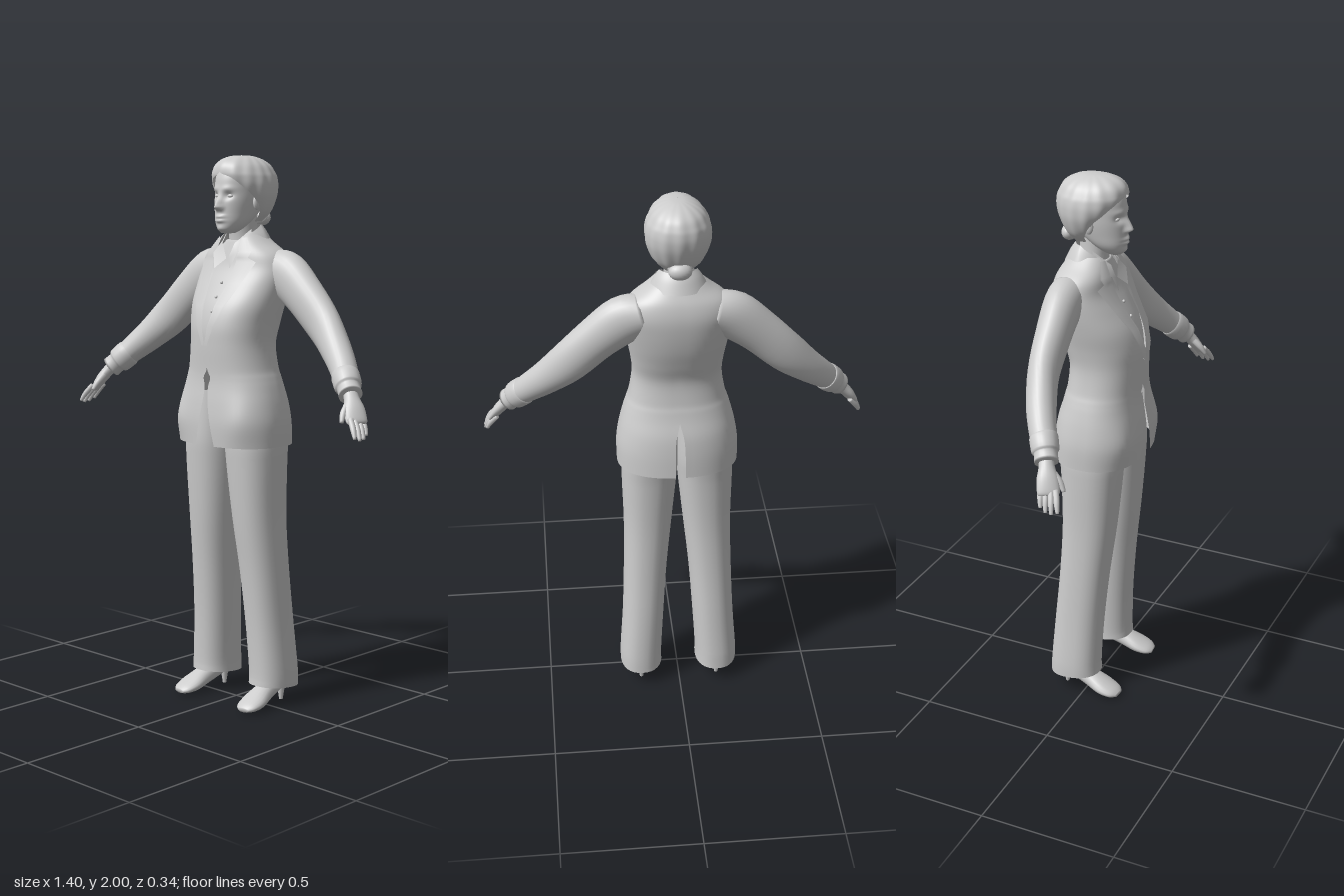
import * as THREE from 'three';
import { mergeVertices, mergeGeometries } from 'three/addons/utils/BufferGeometryUtils.js';

const grey = new THREE.MeshStandardMaterial({ color: 0xcccccc, side: THREE.DoubleSide });
grey.name = 'plain grey';

// Catmull-Rom refinement of a list of number rows
function smooth(rows, n) {
  const out = [], last = rows.length - 1;
  for (let i = 0; i < last; i++) {
    const [a, b, c, d] = [rows[Math.max(i - 1, 0)], rows[i], rows[i + 1], rows[Math.min(i + 2, last)]];
    for (let k = 0; k < n; k++) {
      const t = k / n;
      out.push(b.map((v, j) => v + 0.5 * t * (c[j] - a[j]
        + t * (2 * a[j] - 5 * v + 4 * c[j] - d[j] + t * (3 * (v - c[j]) + d[j] - a[j])))));
    }
  }
  out.push(rows[last]);
  return out;
}

// Surface through rows of points, with optional closed ends
function skin(grid, caps = false) {
  if (caps) {
    const middle = r => {
      const c = new THREE.Vector3();
      r.forEach(p => c.addScaledVector(p, 1 / r.length));
      return r.map(() => c);
    };
    grid = [middle(grid[0]), ...grid, middle(grid[grid.length - 1])];
  }
  const m = grid[0].length, pos = [], index = [];
  grid.forEach(r => r.forEach(p => pos.push(p.x, p.y, p.z)));
  for (let i = 0; i < grid.length - 1; i++) for (let j = 0; j < m - 1; j++) {
    const a = i * m + j, d = a + m;
    index.push(a, a + 1, d + 1, a, d + 1, d);
  }
  const g = new THREE.BufferGeometry();
  g.setAttribute('position', new THREE.Float32BufferAttribute(pos, 3));
  g.setIndex(index);
  return finish(g);
}
function finish(g) {
  g.deleteAttribute('normal');
  g = mergeVertices(g, 1e-4);
  g.computeVertexNormals();
  return g;
}
function flip(geo) {
  const g = geo.clone().scale(-1, 1, 1), ix = g.index.array;
  for (let i = 0; i < ix.length; i += 3) [ix[i], ix[i + 1]] = [ix[i + 1], ix[i]];
  g.computeVertexNormals();
  return g;
}

// Horizontal rounded outline: x = half width, separate front and back depth
function outline([y, w, zf, zb, zc], e, a0, a1, n, bend, x0 = 0) {
  return Array.from({ length: n + 1 }, (_, j) => {
    const a = a0 + (a1 - a0) * j / n, s = Math.sin(a), c = Math.cos(a);
    const p = new THREE.Vector3(x0 + w * Math.sign(s) * Math.abs(s) ** e, y,
      zc + (c > 0 ? zf - zc : zc - zb) * Math.sign(c) * Math.abs(c) ** e);
    if (bend) bend(p);
    return p;
  });
}
// Closed body; rows: y, w, zf, zb, zc, [centre x]
function body(rows, { e = 1, n = 48, steps = 4, bend, caps = true } = {}) {
  return skin(smooth(rows, steps).map(r => outline(r, e, 0, Math.PI * 2, n, bend, r[5] || 0)), caps);
}
// Two mirrored halves with openings; rows: y, w, zf, zb, zc, front gap, back gap
function shell(rows, { e = 1, n = 28, steps = 5, bend } = {}) {
  const angle = (gap, w) => Math.asin(Math.min(1, Math.max(0, gap) / w) ** (1 / e));
  const half = skin(smooth(rows, steps).map(r =>
    outline(r, e, angle(r[5], r[1]), Math.PI - angle(r[6], r[1]), n, bend)));
  return finish(mergeGeometries([half, flip(half)]));
}
// Limb along a path; rows: x, y, z, radius up, radius across
function limb(rows, n = 20, steps = 4, caps = true) {
  const r = smooth(rows, steps), up = new THREE.Vector3(0, 1, 0);
  const c = r.map(p => new THREE.Vector3(p[0], p[1], p[2]));
  return skin(r.map((p, i) => {
    const T = c[Math.min(i + 1, c.length - 1)].clone().sub(c[Math.max(i - 1, 0)]).normalize();
    const W = T.clone().cross(up).normalize(), U = W.clone().cross(T);
    return Array.from({ length: n + 1 }, (_, j) => {
      const a = j / n * Math.PI * 2;
      return c[i].clone().addScaledVector(U, Math.cos(a) * p[3]).addScaledVector(W, Math.sin(a) * p[4]);
    });
  }), caps);
}
const hump = (d, s) => Math.exp(-(d * d) / (s * s));

export function createModel() {
  const model = new THREE.Group();
  const add = (name, geo) => {
    const mesh = new THREE.Mesh(geo, grey);
    mesh.name = name;
    model.add(mesh);
  };
  const pair = (name, geo) => { add('left ' + name, geo); add('right ' + name, flip(geo)); };

  // Jacket with open neck, cutaway front and back vent
  const jacketE = 0.86;
  const jacket = [
    [0.97, 0.22, 0.165, -0.16, 0, 0.045, 0.018], [1.05, 0.22, 0.168, -0.155, 0, 0.028, 0.018],
    [1.12, 0.209, 0.163, -0.145, 0, 0.014, 0.014], [1.18, 0.194, 0.155, -0.127, 0, 0.008, 0],
    [1.215, 0.183, 0.152, -0.118, 0, 0.016, 0], [1.25, 0.172, 0.152, -0.11, 0, 0, 0],
    [1.33, 0.16, 0.155, -0.105, 0, 0, 0], [1.4, 0.165, 0.153, -0.125, -0.01, 0.02, 0],
    [1.47, 0.177, 0.133, -0.145, -0.02, 0.035, 0], [1.54, 0.187, 0.092, -0.157, -0.04, 0.05, 0],
    [1.6, 0.19, 0.056, -0.16, -0.06, 0.058, 0], [1.65, 0.17, 0.045, -0.15, -0.06, 0.06, 0],
    [1.69, 0.115, 0.035, -0.13, -0.05, 0.058, 0], [1.72, 0.078, 0.022, -0.112, -0.045, 0.055, 0]];
  add('jacket', shell(jacket, {
    e: jacketE,
    bend: p => { if (p.z > 0) p.z += 0.014 * hump(Math.abs(p.x) - 0.16, 0.06) * hump(p.y - 1.06, 0.08); }
  }));

  // Lapels lie just above the jacket front
  const fine = smooth(jacket, 10);
  const lapel = [[1.33, 0, 0.012], [1.4, 0.014, 0.042], [1.47, 0.029, 0.07], [1.55, 0.046, 0.1],
    [1.625, 0.054, 0.13], [1.64, 0.055, 0.1], [1.66, 0.055, 0.105], [1.71, 0.052, 0.07]];
  pair('lapel', skin(lapel.map(([y, xa, xb]) => {
    const r = fine.find(q => q[0] >= y - 1e-6);
    return Array.from({ length: 7 }, (_, j) => {
      const x = xa + (xb - xa) * j / 6;
      const c = Math.sqrt(Math.max(0, 1 - (x / r[1]) ** (2 / jacketE)));
      return new THREE.Vector3(x, y, r[4] + (r[2] - r[4]) * c ** jacketE + 0.012);
    });
  })));
  add('jacket collar', shell([[1.69, 0.105, 0.05, -0.138, -0.045, 0.055, 0],
    [1.73, 0.084, 0.035, -0.118, -0.045, 0.056, 0], [1.755, 0.068, 0.02, -0.1, -0.04, 0.056, 0]],
    { bend: p => { p.y -= Math.max(0, p.z + 0.06) * 0.6; } }));

  // Shirt with collar points and buttons
  add('shirt', body([[1.25, 0.14, 0.125, -0.08, 0], [1.33, 0.14, 0.138, -0.09, 0], [1.4, 0.145, 0.136, -0.11, -0.01],
    [1.47, 0.155, 0.117, -0.13, -0.02], [1.54, 0.165, 0.08, -0.14, -0.04], [1.6, 0.165, 0.046, -0.14, -0.06],
    [1.65, 0.13, 0.03, -0.13, -0.06], [1.7, 0.064, 0.015, -0.1, -0.04]], { e: 0.9 }));
  const V = (x, y, z) => new THREE.Vector3(x, y, z);
  pair('shirt collar', skin([[V(0.004, 1.635, 0.048), V(0.038, 1.6, 0.075)],
    [V(0.03, 1.69, 0.04), V(0.058, 1.655, 0.058)], [V(0.056, 1.74, -0.02), V(0.07, 1.7, -0.005)]]));
  [[1.4, 0.137], [1.45, 0.125], [1.5, 0.103], [1.55, 0.075]].forEach(([y, z]) =>
    add('shirt button', new THREE.SphereGeometry(0.006, 10, 8).translate(0, y, z)));

  // Sleeves and cuffs
  pair('sleeve', limb([[0.12, 1.6, -0.072, 0.07, 0.07], [0.19, 1.575, -0.068, 0.086, 0.066],
    [0.28, 1.505, -0.06, 0.079, 0.06], [0.38, 1.41, -0.048, 0.073, 0.054], [0.46, 1.335, -0.018, 0.06, 0.052],
    [0.52, 1.28, 0.015, 0.051, 0.048], [0.555, 1.245, 0.04, 0.045, 0.045]], 28));
  pair('cuff', limb([[0.54, 1.26, 0.028, 0.042, 0.042], [0.546, 1.254, 0.033, 0.051, 0.049],
    [0.575, 1.225, 0.053, 0.049, 0.047], [0.582, 1.218, 0.058, 0.04, 0.04],
    [0.602, 1.198, 0.071, 0.041, 0.041]], 24, 3));

  // Hands
  pair('palm', limb([[0.58, 1.22, 0.058, 0.026, 0.026], [0.61, 1.187, 0.075, 0.022, 0.027],
    [0.634, 1.155, 0.09, 0.02, 0.037], [0.655, 1.12, 0.103, 0.014, 0.038], [0.66, 1.11, 0.106, 0.008, 0.032]]));
  [-0.029, -0.01, 0.009, 0.027].forEach((o, i) => {
    const long = [0.82, 0.97, 1, 0.9][i];
    pair('finger', limb([[0.648, 1.128, 0.1 + o, 0.01, 0.01],
      [0.648 + 0.028 * long, 1.128 - 0.035 * long, 0.112 + o * 1.1, 0.01, 0.01],
      [0.648 + 0.046 * long, 1.128 - 0.068 * long, 0.121 + o * 1.15, 0.006, 0.006]], 10));
  });
  pair('thumb', limb([[0.612, 1.175, 0.092, 0.014, 0.014], [0.617, 1.145, 0.125, 0.012, 0.012],
    [0.625, 1.115, 0.145, 0.006, 0.007]], 10));

  // Trousers: y, inner x, outer x, front z, back z
  const leg = [[0.075, 0.066, 0.225, 0.05, -0.145], [0.13, 0.066, 0.224, 0.048, -0.142],
    [0.3, 0.056, 0.212, 0.055, -0.13], [0.5, 0.042, 0.204, 0.072, -0.114], [0.7, 0.022, 0.2, 0.095, -0.106],
    [0.9, 0.002, 0.204, 0.112, -0.112], [1, -0.004, 0.2, 0.116, -0.118], [1.16, -0.004, 0.165, 0.105, -0.095]];
  pair('trouser leg', body(leg.map(([y, a, b, f, k]) => [y, (b - a) / 2, f, k, (f + k) / 2, (a + b) / 2]), {
    e: 0.88, n: 32, caps: false, bend: p => { if (p.y < 0.1) p.y += p.z * 0.1; }
  }));

  // High-heeled shoes
  pair('shoe', limb([[0.145, 0.08, -0.1, 0.02, 0.02], [0.148, 0.078, -0.06, 0.036, 0.032],
    [0.155, 0.052, 0.015, 0.034, 0.038], [0.161, 0.03, 0.075, 0.027, 0.049],
    [0.164, 0.018, 0.118, 0.017, 0.042], [0.166, 0.012, 0.138, 0.008, 0.022]]));
  pair('heel', new THREE.CylinderGeometry(0.018, 0.007, 0.07, 12).translate(0.147, 0.035, -0.087));

  // Neck and head, with facial relief pressed into the front
  add('neck', body([[1.62, 0.07, 0.02, -0.1, -0.04], [1.7, 0.05, 0.015, -0.088, -0.035],
    [1.8, 0.05, 0.03, -0.09, -0.03]], { n: 28 }));
  const face = p => {
    if (p.z < 0.01) return;
    const x = Math.abs(p.x), y = p.y;
    p.z += 0.024 * hump(x, 0.012) * hump(y - 1.818, y > 1.818 ? 0.034 : 0.01)
      + 0.008 * hump(x - 0.011, 0.008) * hump(y - 1.814, 0.01)
      - 0.012 * hump(x - 0.03, 0.016) * hump(y - 1.858, 0.013)
      + 0.004 * hump(x - 0.03, 0.025) * hump(y - 1.882, 0.01)
      + 0.009 * hump(x, 0.02) * (hump(y - 1.784, 0.006) + hump(y - 1.769, 0.006))
      + 0.005 * hump(x, 0.018) * hump(y - 1.74, 0.012);
  };
  add('head', body([[1.725, 0.024, 0.066, 0.02, 0.04], [1.74, 0.042, 0.08, -0.01, 0.025],
    [1.765, 0.058, 0.085, -0.05, 0.01], [1.8, 0.068, 0.086, -0.09, -0.01], [1.84, 0.075, 0.085, -0.11, -0.02],
    [1.88, 0.078, 0.082, -0.125, -0.03], [1.92, 0.078, 0.076, -0.13, -0.03], [1.95, 0.07, 0.06, -0.12, -0.03],
    [1.975, 0.04, 0.025, -0.08, -0.03]], { n: 80, steps: 8, e: 0.95, bend: face }));
  pair('eye', new THREE.SphereGeometry(0.012, 14, 10).scale(1.1, 0.55, 0.7).translate(0.03, 1.857, 0.063));
  pair('ear', new THREE.SphereGeometry(0.028, 14, 10).scale(0.35, 1, 0.6).translate(0.082, 1.835, -0.02));

  // Swept-back hair with strand ridges and a low bun
  add('hair', shell([[1.765, 0.05, -0.02, -0.105, -0.07, 0.045, 0], [1.8, 0.086, 0.0, -0.135, -0.06, 0.08, 0],
    [1.85, 0.108, 0.035, -0.158, -0.05, 0.09, 0], [1.89, 0.113, 0.065, -0.167, -0.045, 0.072, 0],
    [1.92, 0.109, 0.08, -0.166, -0.045, 0.045, 0], [1.94, 0.101, 0.083, -0.16, -0.042, 0, 0],
    [1.965, 0.085, 0.076, -0.145, -0.04, 0, 0], [1.985, 0.06, 0.055, -0.115, -0.035, 0, 0],
    [1.997, 0.03, 0.02, -0.075, -0.03, 0, 0], [2, 0.001, -0.027, -0.029, -0.028, 0, 0]], {
    n: 48, e: 0.95,
    bend: p => {
      const k = 1 + 0.014 * Math.cos(14 * Math.atan2(p.x, p.z + 0.045));
      p.x *= k;
      p.z = (p.z + 0.045) * k - 0.045;
    }
  }));
  add('hair bun', new THREE.SphereGeometry(0.03, 20, 14).scale(1.35, 1, 0.95).translate(0, 1.778, -0.13));
  add('hair band', new THREE.TorusGeometry(0.027, 0.008, 8, 24).scale(1.2, 0.9, 1).translate(0, 1.785, -0.118));
  return model;
}
